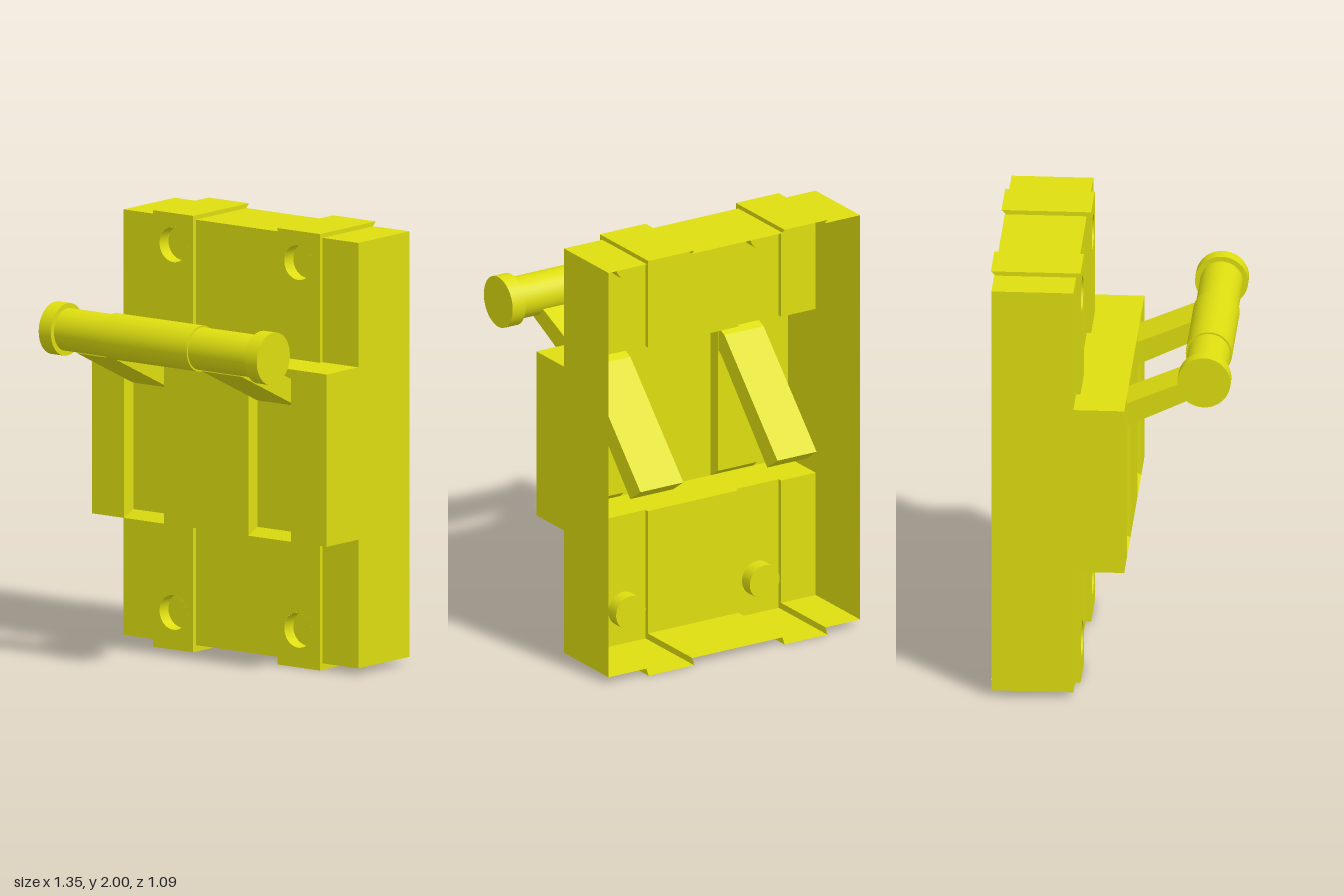
import * as THREE from 'three';

const material = new THREE.MeshStandardMaterial({ color: 0xdddd10, side: THREE.DoubleSide });

function add(parent, name, geometry) {
  const mesh = new THREE.Mesh(geometry, material);
  mesh.name = name;
  parent.add(mesh);
  return mesh;
}

// Flat-shaded band of quads joining two point paths of equal length.
function ribbon(parent, name, a, b) {
  const p = [];
  for (let i = 0; i + 1 < a.length; i++) {
    for (const v of [a[i], b[i], a[i + 1], a[i + 1], b[i], b[i + 1]]) p.push(...v);
  }
  const g = new THREE.BufferGeometry();
  g.setAttribute('position', new THREE.Float32BufferAttribute(p, 3));
  g.computeVertexNormals();
  return add(parent, name, g);
}

// A (z, y) path placed at a given x.
const at = (path, x) => path.map(([z, y]) => [x, y, z]);

// Side-view polygon of (z, y) points.
const sideShape = (path) => new THREE.Shape(path.map(([z, y]) => new THREE.Vector2(-z, y)));

const rect = (x0, x1, y0, y1, z) => [[x0, y0, z], [x1, y0, z], [x1, y1, z], [x0, y1, z], [x0, y0, z]];

const HALF = 0.675, FRONT = 0.07, PLATE = -0.16, STRAP = -0.14, LOW = 0.62, HIGH = 1.41;

const profile = [
  [-0.53, 1.98], [PLATE, 1.98], [PLATE, HIGH], [FRONT, HIGH],
  [FRONT, LOW], [PLATE, LOW], [PLATE, 0.03], [-0.53, 0.03],
];

// Raised strap at one end of the housing, with a round dimple.
function strapEnd(parent, x0, x1, holeX, top) {
  const g = new THREE.Group();
  g.name = top ? 'upperStrap' : 'lowerStrap';
  parent.add(g);
  const edge = top ? 2 : 0, wall = top ? 1.98 : 0.03, inner = top ? HIGH : LOW;
  const holeY = top ? 1.855 : 0.17;

  const plate = new THREE.Shape([
    new THREE.Vector2(x0, Math.min(edge, inner)), new THREE.Vector2(x1, Math.min(edge, inner)),
    new THREE.Vector2(x1, Math.max(edge, inner)), new THREE.Vector2(x0, Math.max(edge, inner)),
  ]);
  plate.holes.push(new THREE.Path().absarc(holeX, holeY, 0.08, 0, Math.PI * 2, true));
  add(g, 'strapPlate', new THREE.ShapeGeometry(plate, 24)).position.z = STRAP;

  const outer = [[-0.545, edge], [STRAP, edge], [STRAP, inner]];
  const base = [[-0.525, wall], [PLATE, wall], [PLATE, inner]];
  ribbon(g, 'strapFold', at(outer.slice(0, 2), x0), at(outer.slice(0, 2), x1));
  for (const x of [x0, x1]) ribbon(g, 'strapEdge', at(outer, x), at(base, x));

  // Dimple wall and floor
  const depth = 0.065;
  const tube = new THREE.CylinderGeometry(0.08, 0.08, depth, 32, 1, true).rotateX(Math.PI / 2);
  add(g, 'dimpleWall', tube).position.set(holeX, holeY, STRAP - depth / 2);
  add(g, 'dimpleFloor', new THREE.CircleGeometry(0.08, 32)).position.set(holeX, holeY, STRAP - depth);
}

// Slot in the raised middle block, tapering to a recessed panel.
function slot(parent, x0, x1) {
  const floor = FRONT - 0.05;
  const inner = rect(x0 + 0.013, x1 - 0.008, LOW + 0.035, HIGH - 0.01, floor);
  ribbon(parent, 'slotWalls', rect(x0, x1, LOW, HIGH, FRONT), inner);
  ribbon(parent, 'slotFloor', [inner[0], inner[1]], [inner[3], inner[2]]);
  for (const y of [LOW, HIGH]) {
    const shelf = [[STRAP, y], [FRONT, y]];
    ribbon(parent, 'slotShelf', at(shelf, x0), at(shelf, x1));
  }
}

// Bent lever arm running from the handle into the housing.
function arm(parent, x0, x1) {
  const path = [
    [0.40, 1.51], [-0.03, 1.325], [-0.47, 0.86], [-0.385, 0.80], [0.0, 1.225], [0.42, 1.425],
  ];
  const g = new THREE.ExtrudeGeometry(sideShape(path), { depth: x1 - x0, bevelEnabled: false });
  g.rotateY(Math.PI / 2);
  add(parent, 'leverArm', g).position.x = x0;
}

export function createModel() {
  const model = new THREE.Group();
  model.name = 'leverSwitch';

  // Thin housing, open at the back
  const housing = new THREE.Group();
  housing.name = 'housing';
  model.add(housing);
  for (const [x0, x1] of [[-HALF, -0.49], [-0.26, 0.225], [0.47, HALF]]) {
    ribbon(housing, 'housingShell', at(profile, x0), at(profile, x1));
  }
  for (const x of [-HALF, HALF]) {
    const g = new THREE.ShapeGeometry(sideShape(profile)).rotateY(Math.PI / 2);
    add(housing, 'sideWall', g).position.x = x;
  }

  // Straps, slots and arms
  for (const [x0, x1, holeX] of [[-0.49, -0.26, -0.373], [0.225, 0.47, 0.345]]) {
    strapEnd(housing, x0, x1, holeX, true);
    strapEnd(housing, x0, x1, holeX, false);
    slot(housing, x0, x1);
  }
  arm(model, -0.48, -0.27);
  arm(model, 0.235, 0.465);

  // Stepped round handle
  const handle = new THREE.Group();
  handle.name = 'handle';
  handle.position.set(0, 1.53, 0.425);
  model.add(handle);
  const sections = [
    ['handleCap', -0.605, -0.535, 0.12], ['handleBar', -0.535, -0.265, 0.097],
    ['handleGrip', -0.265, 0.235, 0.105], ['handleBar', 0.235, 0.58, 0.097],
    ['handleCap', 0.58, 0.65, 0.12],
  ];
  for (const [name, x0, x1, r] of sections) {
    const g = new THREE.CylinderGeometry(r, r, x1 - x0, 40).rotateZ(Math.PI / 2);
    add(handle, name, g).position.x = (x0 + x1) / 2;
  }
  return model;
}
